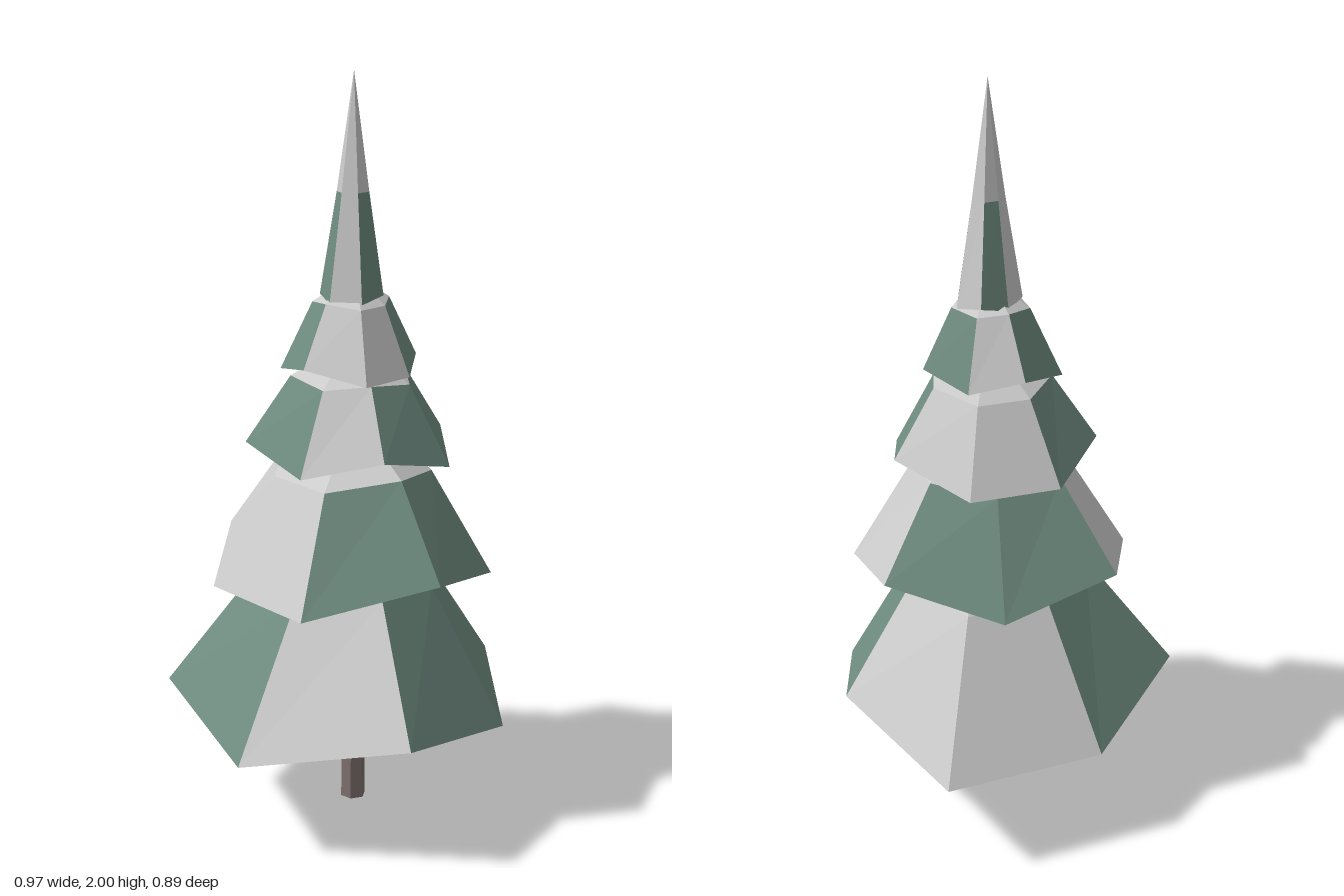
import * as THREE from 'three';

const material = (color) => new THREE.MeshStandardMaterial({ color, flatShading: true });
const SNOW = material(0xcccccc);
const NEEDLES = material(0x6f8c80);
const BARK = material(0x7d706c);
const AXIS = { x: 0.025, z: 0.01 };

// Flat-shaded mesh from a list of triangles, each made of three Vector3 corners
function facets(name, triangles, mat) {
  const geometry = new THREE.BufferGeometry().setFromPoints(triangles.flat());
  geometry.computeVertexNormals();
  const mesh = new THREE.Mesh(geometry, mat);
  mesh.name = name;
  return mesh;
}

// A seven-sided skirt: hanging rim, narrower upper ring, peak and hollow underside.
// rim: [x, z] corners; low: corners that droop; snowy: sides that are snow from the rim up
function buildTier({ name, rim, low, yLow, yHigh, snowy, ringY, ringScale, peakY, hollowY, sway }) {
  const n = rim.length;
  const outer = rim.map(([x, z], i) => new THREE.Vector3(x, low.includes(i) ? yLow : yHigh, z));
  const upper = outer.map((p) => new THREE.Vector3(
    AXIS.x + (p.x - AXIS.x) * ringScale,
    ringY + (p.y - (yLow + yHigh) / 2) * sway,
    AXIS.z + (p.z - AXIS.z) * ringScale));
  const peak = new THREE.Vector3(AXIS.x, peakY, AXIS.z);
  const hollow = new THREE.Vector3(AXIS.x, hollowY, AXIS.z);
  const green = [], snow = [], under = [];
  for (let i = 0; i < n; i++) {
    const j = (i + 1) % n;
    const side = snowy.includes(i) ? snow : green;
    side.push([outer[i], upper[i], outer[j]], [upper[i], upper[j], outer[j]]);
    snow.push([upper[i], peak, upper[j]]);
    under.push([outer[i], outer[j], hollow]);
  }
  const group = new THREE.Group();
  group.name = name;
  group.add(
    facets(name + 'Needles', green, NEEDLES),
    facets(name + 'Snow', snow, SNOW),
    facets(name + 'Underside', under, NEEDLES));
  return group;
}

const TIERS = [
  {
    name: 'bottomBranches', yLow: 0.28, yHigh: 0.36, low: [0, 1, 3, 5], snowy: [0, 1, 4],
    rim: [[0.085, -0.45], [0.48, -0.27], [0.43, 0.16], [0.165, 0.42], [-0.26, 0.445], [-0.485, 0.06], [-0.325, -0.355]],
    ringY: 0.66, ringScale: 0.52, peakY: 0.86, hollowY: 0.47, sway: 0.3,
  },
  {
    name: 'lowerBranches', yLow: 0.67, yHigh: 0.74, low: [1, 3, 5, 6], snowy: [2, 5, 6],
    rim: [[-0.045, -0.38], [0.255, -0.26], [0.405, 0.025], [0.245, 0.31], [-0.085, 0.395], [-0.37, 0.175], [-0.32, -0.18]],
    ringY: 0.965, ringScale: 0.56, peakY: 1.11, hollowY: 0.84, sway: 0.3,
  },
  {
    name: 'middleBranches', yLow: 0.985, yHigh: 1.035, low: [0, 1, 3, 5], snowy: [0, 1, 4],
    rim: [[0.05, -0.265], [0.265, -0.15], [0.29, 0.095], [0.12, 0.26], [-0.105, 0.225], [-0.225, 0.045], [-0.18, -0.19]],
    ringY: 1.205, ringScale: 0.58, peakY: 1.31, hollowY: 1.1, sway: 0.3,
  },
  {
    name: 'upperBranches', yLow: 1.225, yHigh: 1.255, low: [1, 3, 4, 6], snowy: [0, 3, 4],
    rim: [[0.07, -0.16], [0.175, -0.06], [0.18, 0.095], [0.055, 0.175], [-0.105, 0.165], [-0.16, 0], [-0.09, -0.145]],
    ringY: 1.41, ringScale: 0.56, peakY: 1.48, hollowY: 1.3, sway: 0.3,
  },
  {
    name: 'topSpire', yLow: 1.415, yHigh: 1.43, low: [0, 2, 4, 5], snowy: [1, 4, 6],
    rim: [[0.035, -0.07], [0.105, -0.04], [0.11, 0.04], [0.05, 0.09], [-0.03, 0.085], [-0.07, 0.01], [-0.04, -0.05]],
    ringY: 1.695, ringScale: 0.5, peakY: 2, hollowY: 1.46, sway: 0,
  },
];

export function createModel() {
  const tree = new THREE.Group();
  tree.name = 'snowyFirTree';

  // Trunk, running up into the bottom branches
  const trunk = new THREE.Mesh(new THREE.CylinderGeometry(0.028, 0.035, 0.5, 6), BARK);
  trunk.name = 'trunk';
  trunk.position.set(AXIS.x, 0.25, AXIS.z);
  tree.add(trunk);

  // Branch tiers from the ground up
  for (const tier of TIERS) tree.add(buildTier(tier));
  return tree;
}
